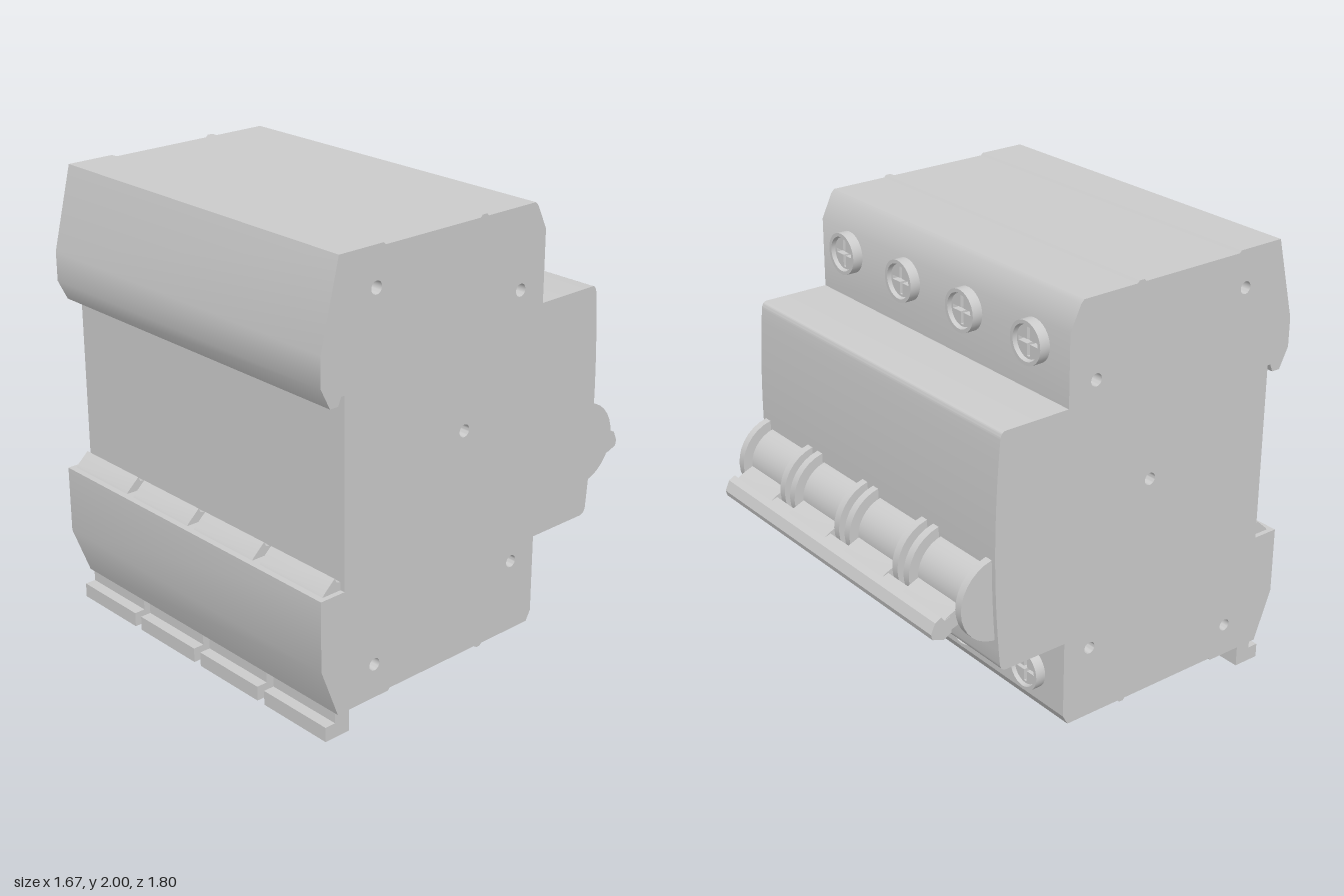
import * as THREE from 'three';
import { toCreasedNormals } from 'three/addons/utils/BufferGeometryUtils.js';

const material = new THREE.MeshStandardMaterial({ color: 0xcccccc });
const HALF = 0.835;

export function createModel() {
  const model = new THREE.Group();
  model.name = 'circuitBreaker';

  const add = (name, geometry, parent = model) => {
    const mesh = new THREE.Mesh(toCreasedNormals(geometry, 0.5), material);
    mesh.name = name;
    parent.add(mesh);
    return mesh;
  };

  // Extrudes a (z, y) side profile across x from x0 to x1
  const across = (shape, x0, x1) =>
    new THREE.ExtrudeGeometry(shape, { depth: x1 - x0, bevelEnabled: false, curveSegments: 16 })
      .rotateY(-Math.PI / 2).translate(x1, 0, 0);
  const outline = (points) => new THREE.Shape(points.map(([z, y]) => new THREE.Vector2(z, y)));
  const disc = (z, y, r) => new THREE.Shape().absarc(z, y, r, 0, Math.PI * 2, false);

  // Housing: stepped profile with rail hooks, ridges and a slightly bulging face
  const body = outline([
    [0.81, 2], [0.59, 2], [0.58, 1.99], [0.085, 1.99], [0.075, 2], [0.05, 2], [0.04, 1.99],
    [-0.225, 1.99], [-0.24, 1.975], [-0.29, 1.87], [-0.29, 1.56], [-0.595, 1.56],
  ]);
  body.quadraticCurveTo(-0.615, 1.56, -0.62, 1.53);
  body.quadraticCurveTo(-0.668, 1.04, -0.62, 0.55);
  body.quadraticCurveTo(-0.615, 0.52, -0.585, 0.52);
  [
    [-0.29, 0.52], [-0.29, 0.17], [-0.265, 0.125], [0.01, 0.125], [0.02, 0.115], [0.04, 0.115],
    [0.05, 0.125], [0.54, 0.125], [0.55, 0.115], [0.82, 0.115], [0.905, 0.34], [0.905, 0.645],
    [0.785, 0.645], [0.785, 1.455], [0.8, 1.455], [0.815, 1.42], [0.855, 1.42],
    [0.9, 1.51], [0.9, 1.64],
  ].forEach(([z, y]) => body.lineTo(z, y));
  body.closePath();

  // Rivet holes running through the housing
  [[0.625, 1.835], [-0.155, 1.645], [0.145, 1.13], [-0.155, 0.45], [0.625, 0.265]]
    .forEach(([z, y]) => body.holes.push(disc(z, y, 0.027)));
  add('housing', across(body, -HALF, HALF));

  // Terminal screw pieces: rim ring and head with a cross slot
  const rim = disc(0, 0, 0.092);
  rim.holes.push(disc(0, 0, 0.076));
  const head = disc(0, 0, 0.07);
  const w = 0.009, l = 0.06;
  head.holes.push(outline([
    [l, -w], [l, w], [w, w], [w, l], [-w, l], [-w, w],
    [-l, w], [-l, -w], [-w, -w], [-w, -l], [w, -l], [w, -w],
  ]));
  const flat = (shape, depth) =>
    new THREE.ExtrudeGeometry(shape, { depth, bevelEnabled: false, curveSegments: 20 });

  const clip = outline([
    [0.88, 0.64], [0.87, 0.655], [0.815, 0.705], [0.805, 0.685], [0.785, 0.68], [0.785, 0.64],
  ]);
  const foot = outline([
    [0.74, 0.125], [0.74, 0], [0.865, 0], [0.865, 0.065], [0.815, 0.065], [0.815, 0.125],
  ]);
  const arm = outline([[-0.7, 0.86], [-0.81, 0.815], [-0.85, 0.79], [-0.84, 0.735], [-0.7, 0.78]]);

  // One set of moving and clamping parts for each of the four poles
  for (let i = 0; i < 4; i++) {
    const pole = new THREE.Group();
    pole.name = 'pole' + (i + 1);
    pole.position.x = (i - 1.5) * 0.417;
    model.add(pole);

    add('railClip', across(clip, -0.187, 0.187), pole);
    add('railFoot', across(foot, -0.187, 0.187), pole);

    for (const y of [1.775, 0.31]) {
      add('screwRim', flat(rim, 0.055), pole).position.set(0, y, -0.337);
      add('screwHead', flat(head, 0.035), pole).position.set(0, y, -0.32);
    }

    // Toggle drum between two larger side flanges
    add('toggleDrum', across(disc(-0.61, 0.84, 0.147), -0.14, 0.14), pole);
    for (const x of [-0.17, 0.17]) {
      add('toggleFlange', across(disc(-0.61, 0.84, 0.183), x - 0.018, x + 0.018), pole);
    }
    add('toggleArm', across(arm, -0.138, 0.138), pole);
  }

  // Tie bar joining all four toggles
  const bar = outline([
    [-0.803, 0.81], [-0.835, 0.8], [-0.85, 0.82], [-0.88, 0.805], [-0.9, 0.76],
    [-0.893, 0.735], [-0.84, 0.717], [-0.803, 0.735],
  ]);
  add('tieBar', across(bar, -0.765, 0.762));

  return model;
}
